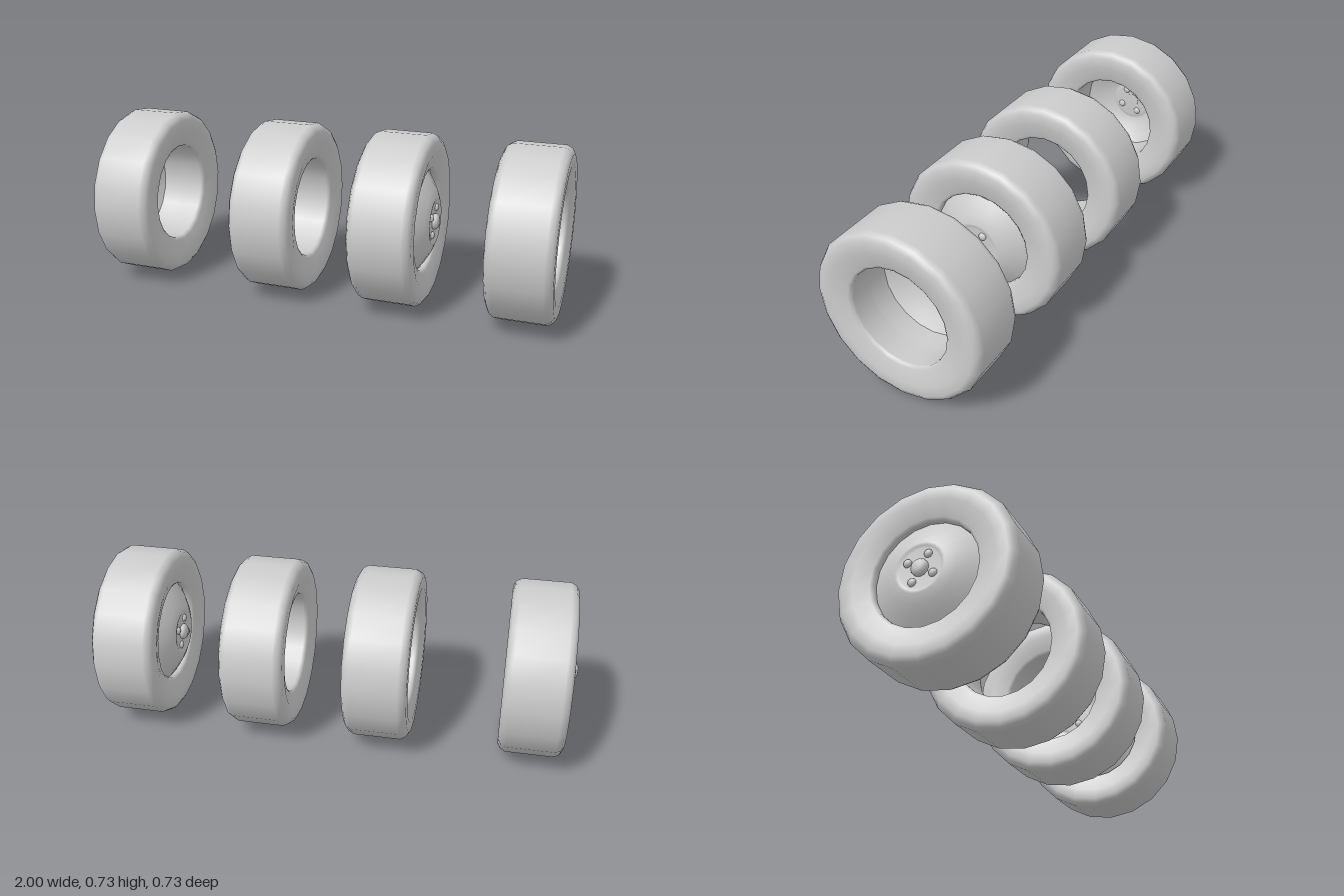
import * as THREE from 'three';

const R = 0.366;      // tyre radius
const HALF = 0.1335;  // half the tyre width
const SIDES = 20;
const grey = new THREE.MeshStandardMaterial({ color: 0xcccccc });
const thin = new THREE.MeshStandardMaterial({ color: 0xcccccc, side: THREE.DoubleSide });

const toPoints = (list) => list.map(([r, y]) => new THREE.Vector2(r, y));

function add(parent, name, geometry, material = grey) {
  const mesh = new THREE.Mesh(geometry, material);
  mesh.name = name;
  parent.add(mesh);
  return mesh;
}

// Tyre cross-section: barrel, sloping inner sidewall, flat bulge, chamfer, tread, mirrored
function tyreGeometry() {
  const upper = [
    [R, 0.1], [0.354, 0.122], [0.334, HALF], [0.29, HALF],
    [0.225, 0.116], [0.214, 0.108], [0.213, 0.098],
  ];
  const lower = upper.map(([r, y]) => [r, -y]).reverse();
  return new THREE.LatheGeometry(toPoints([[0.216, 0], ...lower, ...upper, [0.216, 0]]), SIDES);
}

// Domed wheel disc; its back is an open bowl
function discGeometry() {
  return new THREE.LatheGeometry(toPoints([
    [0.214, HALF - 0.045], [0.18, HALF - 0.022], [0.14, HALF + 0.001],
    [0.102, HALF + 0.016], [0.09, HALF + 0.014], [0.08, HALF + 0.009], [0, HALF + 0.009],
  ]), SIDES);
}

// A wheel is built along +y, then laid on its side so its outer face points to +x or -x
function makeWheel(name, x, facing, withDisc) {
  const wheel = new THREE.Group();
  wheel.name = name;
  wheel.position.set(x, R, 0);
  wheel.rotation.z = -facing * Math.PI / 2;
  add(wheel, 'tyre', tyreGeometry());
  if (!withDisc) return wheel;

  add(wheel, 'wheelDisc', discGeometry(), thin);

  // Rounded centre cap
  add(wheel, 'hubCap', new THREE.LatheGeometry(toPoints([
    [0.034, HALF + 0.007], [0.034, HALF + 0.019], [0.027, HALF + 0.028],
    [0.014, HALF + 0.0315], [0, HALF + 0.0315],
  ]), 12));

  // Ring of wheel nuts
  for (let i = 0; i < 4; i++) {
    const a = Math.PI / 6 + (i * Math.PI) / 2;
    const nut = add(wheel, 'wheelNut', new THREE.SphereGeometry(0.017, 10, 6));
    nut.scale.y = 0.65;
    nut.position.set(0.06 * Math.cos(a), HALF + 0.01, 0.06 * Math.sin(a));
  }
  return wheel;
}

export function createModel() {
  const model = new THREE.Group();
  model.name = 'wheelSet';
  model.add(
    makeWheel('rightWheel', -0.835, -1, true),
    makeWheel('spareTyre', -0.195, 1, false),
    makeWheel('middleWheel', 0.316, 1, true),
    makeWheel('leftWheel', 0.8665, -1, true),
  );
  return model;
}
